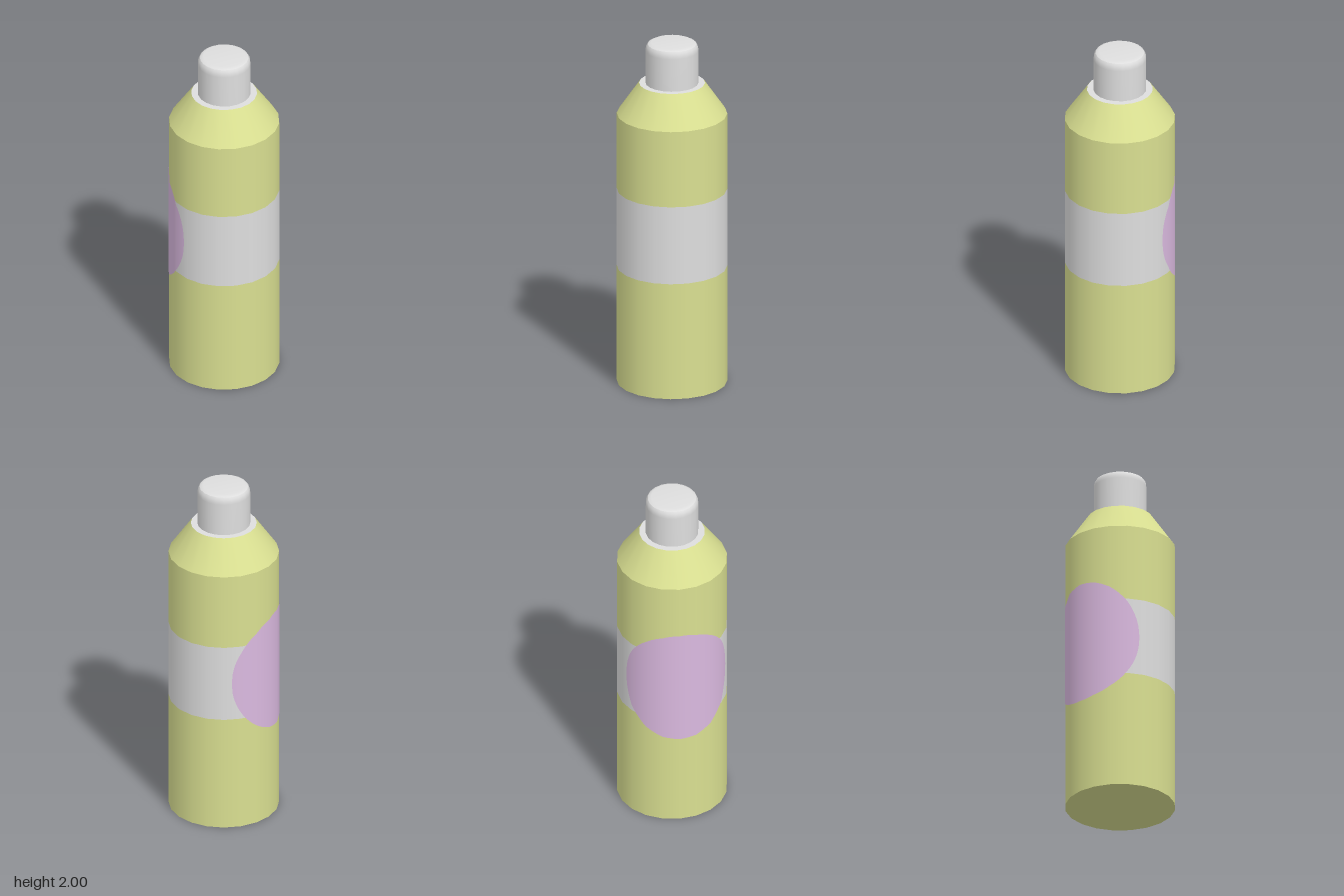
import * as THREE from 'three';

const SIDES = 20;
const R = 0.307; // body radius

export function createModel() {
  const group = new THREE.Group();
  group.name = 'bottle';

  const mat = (name, color, side = THREE.FrontSide) => {
    const m = new THREE.MeshStandardMaterial({ color, side });
    m.name = name;
    return m;
  };
  const green = mat('pale green', 0xd9df91);
  const grey = mat('light grey', 0xdedede);
  const purple = mat('lilac', 0xdab9df, THREE.DoubleSide);

  const add = (name, geometry, material) => {
    const mesh = new THREE.Mesh(geometry, material);
    mesh.name = name;
    group.add(mesh);
    return mesh;
  };
  // Each turned section is smooth inside and creased against its neighbours
  const turned = (name, profile, material) =>
    add(name, new THREE.LatheGeometry(profile.map(([r, y]) => new THREE.Vector2(r, y)), SIDES), material);

  // Body, bottom to top
  turned('base', [[0, 0], [R, 0]], green);
  turned('lowerBody', [[R, 0], [R, 0.68]], green);
  turned('labelBand', [[R, 0.68], [R, 1.135]], grey);
  turned('upperBody', [[R, 1.135], [R, 1.58]], green);
  turned('shoulder', [[R, 1.58], [0.183, 1.76]], green);
  turned('neckRing', [[0.183, 1.76], [0, 1.76]], grey);

  // Cap with a rounded rim
  turned('capSide', [[0.147, 1.76], [0.147, 1.95], [0.146, 1.965], [0.142, 1.98], [0.135, 1.99]], grey);
  turned('capTop', [[0.135, 1.99], [0.115, 2], [0, 2]], grey);

  // Round spot wrapped over the faceted body, as one-degree upright strips
  const from = 5, to = 136, midY = 0.905, halfHeight = 0.355;
  const centre = (from + to) / 2, halfAngle = (to - from) / 2;
  const step = 360 / SIDES;
  const position = [], normal = [], index = [];
  for (let deg = from; deg <= to; deg++) {
    const a = THREE.MathUtils.degToRad(deg);
    const offMiddle = THREE.MathUtils.degToRad((deg % step) - step / 2);
    const r = R * Math.cos(Math.PI / SIDES) / Math.cos(offMiddle) + 0.002;
    const h = halfHeight * Math.sqrt(Math.max(0, 1 - ((deg - centre) / halfAngle) ** 2));
    const nx = -Math.sin(a), nz = Math.cos(a);
    for (const y of [midY - h, midY + h]) {
      position.push(nx * r, y, nz * r);
      normal.push(nx, 0, nz);
    }
    if (deg < to) {
      const i = (deg - from) * 2;
      index.push(i + 2, i, i + 1, i + 2, i + 1, i + 3);
    }
  }
  const spot = new THREE.BufferGeometry();
  spot.setAttribute('position', new THREE.Float32BufferAttribute(position, 3));
  spot.setAttribute('normal', new THREE.Float32BufferAttribute(normal, 3));
  spot.setIndex(index);
  add('labelSpot', spot, purple);

  return group;
}
